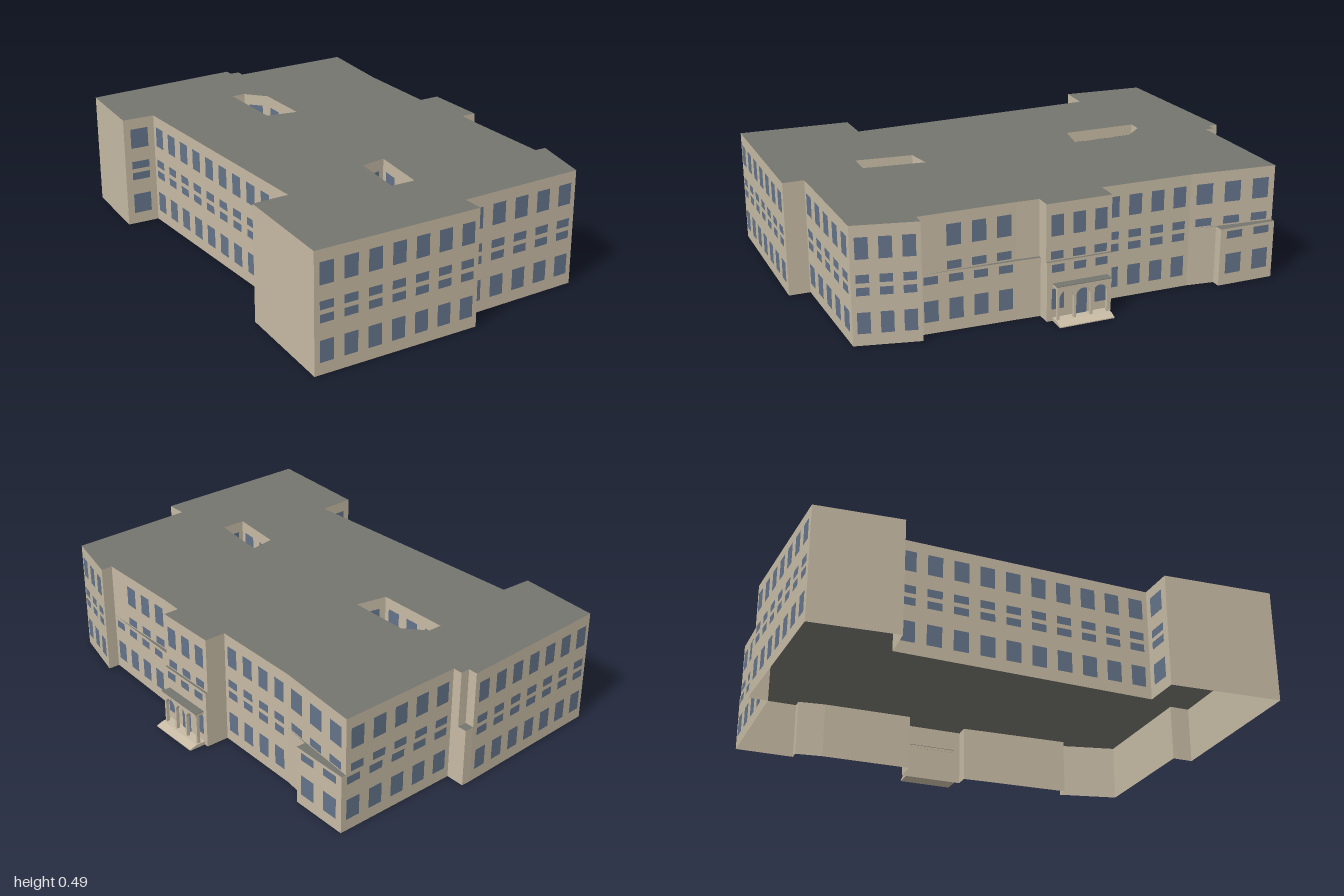
import * as THREE from 'three';

const mat = (name, color, side = THREE.DoubleSide) => {
  const m = new THREE.MeshStandardMaterial({ color, side });
  m.name = name;
  return m;
};
const wallMat = mat('beige wall', 0xc6baa4);
const roofMat = mat('grey roof', 0x74756d);
const glassMat = mat('blue glass', 0x64748a, THREE.FrontSide);

const MID = 0.25, TOP = 0.488;

// Outlines: [x, z, window columns on the wall that starts here]
const southAndWest = [
  [0.56, 0.625], [0.61, 0.625, 3], [0.55, 0.885, 5], [0, 0.9], [0, 0.99, 7], [-0.715, 0.995],
  [-0.69, 0.515, 1], [-0.535, 0.51, 10], [-0.575, -0.595, 1], [-0.715, -0.6],
];
const lowerOutline = [
  [-0.69, -0.96, 7], [0, -1], [0.04, -1], [0.04, -0.92, 5], [0.6, -0.93, 2], [0.6, -0.675],
  [0.56, -0.675], [0.545, -0.555, 4], [0.54, -0.155], [0.64, -0.155, 3], [0.64, 0.125],
  [0.58, 0.125], [0.575, 0.22, 4], ...southAndWest,
];
const upperOutline = [
  [-0.69, -0.96, 7], [0, -1], [0, -0.96], [0.04, -0.96], [0.04, -0.92, 5], [0.58, -0.93, 3],
  [0.545, -0.555, 4], [0.54, -0.155], [0.63, -0.155, 3], [0.63, 0.125],
  [0.565, 0.125], [0.56, 0.22, 3], [0.56, 0.53], ...southAndWest,
];
// Courtyards run the other way round so their walls face inward
const courtyards = [
  [[-0.155, -0.65, 3], [-0.155, -0.33, 1], [-0.02, -0.305, 2], [-0.02, -0.565, 1], [-0.095, -0.65]],
  [[-0.13, 0.4, 2], [-0.155, 0.64, 1], [-0.05, 0.64, 2], [-0.02, 0.38, 1]],
];

const lowerRows = [[0.05, 0.138], [0.206, 0.239]];
const upperRows = [[0.257, 0.291], [0.353, 0.441]];

function add(parent, name, geometry, material, x = 0, y = 0, z = 0) {
  const mesh = new THREE.Mesh(geometry, material);
  mesh.name = name;
  mesh.position.set(x, y, z);
  parent.add(mesh);
  return mesh;
}

// One wall panel per outline edge, with evenly spaced window plates
function addWalls(parent, outline, y0, y1, rows) {
  outline.forEach(([ax, az, count = 0], i) => {
    const [bx, bz] = outline[(i + 1) % outline.length];
    const length = Math.hypot(bx - ax, bz - az);
    const side = new THREE.Group();
    side.name = 'wallSection';
    side.position.set((ax + bx) / 2, 0, (az + bz) / 2);
    side.rotation.y = Math.atan2(bz - az, ax - bx);
    parent.add(side);
    add(side, 'wall', new THREE.PlaneGeometry(length, y1 - y0), wallMat, 0, (y0 + y1) / 2, 0);
    const pitch = length / Math.max(count, 1);
    for (let k = 0; k < count; k++) {
      for (const [w0, w1] of rows) {
        add(side, 'window', new THREE.PlaneGeometry(pitch * 0.57, w1 - w0), glassMat,
          (k + 0.5) * pitch - length / 2, (w0 + w1) / 2, 0.002);
      }
    }
  });
}

function addRoof(parent, name, outline, y, holes = []) {
  const points = (list) => list.map(([x, z]) => new THREE.Vector2(x, -z));
  const shape = new THREE.Shape(points(outline));
  shape.holes = holes.map((h) => new THREE.Path(points(h)));
  add(parent, name, new THREE.ShapeGeometry(shape).rotateX(-Math.PI / 2), roofMat, 0, y, 0);
}

// Entrance porch with three arches, flat roof and steps
function addPorch(parent) {
  const porch = new THREE.Group();
  porch.name = 'porch';
  porch.position.z = -0.018;
  parent.add(porch);

  const half = 0.112, height = 0.148, radius = 0.031, spring = 0.105;
  const arcade = new THREE.Shape();
  arcade.moveTo(-half, 0);
  for (const c of [-0.072, 0, 0.072]) {
    arcade.lineTo(c - radius, 0);
    arcade.lineTo(c - radius, spring);
    arcade.absarc(c, spring, radius, Math.PI, 0, true);
    arcade.lineTo(c + radius, 0);
  }
  arcade.lineTo(half, 0);
  arcade.lineTo(half, height);
  arcade.lineTo(-half, height);
  arcade.closePath();
  const arches = new THREE.ExtrudeGeometry(arcade, { depth: 0.014, bevelEnabled: false, curveSegments: 10 });
  add(porch, 'arches', arches.rotateY(Math.PI / 2), wallMat, 0.658, 0, 0);

  add(porch, 'porchSlab', new THREE.BoxGeometry(0.042, 0.012, 0.236), wallMat, 0.66, 0.152, 0);
  add(porch, 'porchRoof', new THREE.BoxGeometry(0.042, 0.002, 0.236), roofMat, 0.66, 0.159, 0);

  const steps = new THREE.Shape([[0.64, 0], [0.713, 0], [0.713, 0.004], [0.682, 0.015], [0.64, 0.015]]
    .map(([x, y]) => new THREE.Vector2(x, y)));
  add(porch, 'steps', new THREE.ExtrudeGeometry(steps, { depth: 0.236, bevelEnabled: false }),
    wallMat, 0, 0, -0.118);

  const door = add(porch, 'door', new THREE.PlaneGeometry(0.058, 0.122), glassMat, 0.643, 0.076, 0);
  door.rotation.y = Math.PI / 2;
}

export function createModel() {
  const model = new THREE.Group();
  model.name = 'building';

  const lower = new THREE.Group();
  lower.name = 'lowerStoreys';
  addWalls(lower, lowerOutline, 0, MID, lowerRows);
  addRoof(lower, 'ledgeRoof', lowerOutline, MID);

  const upper = new THREE.Group();
  upper.name = 'upperStoreys';
  addWalls(upper, upperOutline, MID, TOP, upperRows);
  courtyards.forEach((yard) => addWalls(upper, yard, MID, TOP, upperRows));
  addRoof(upper, 'mainRoof', upperOutline, TOP, courtyards);

  model.add(lower, upper);
  addPorch(model);
  return model;
}
